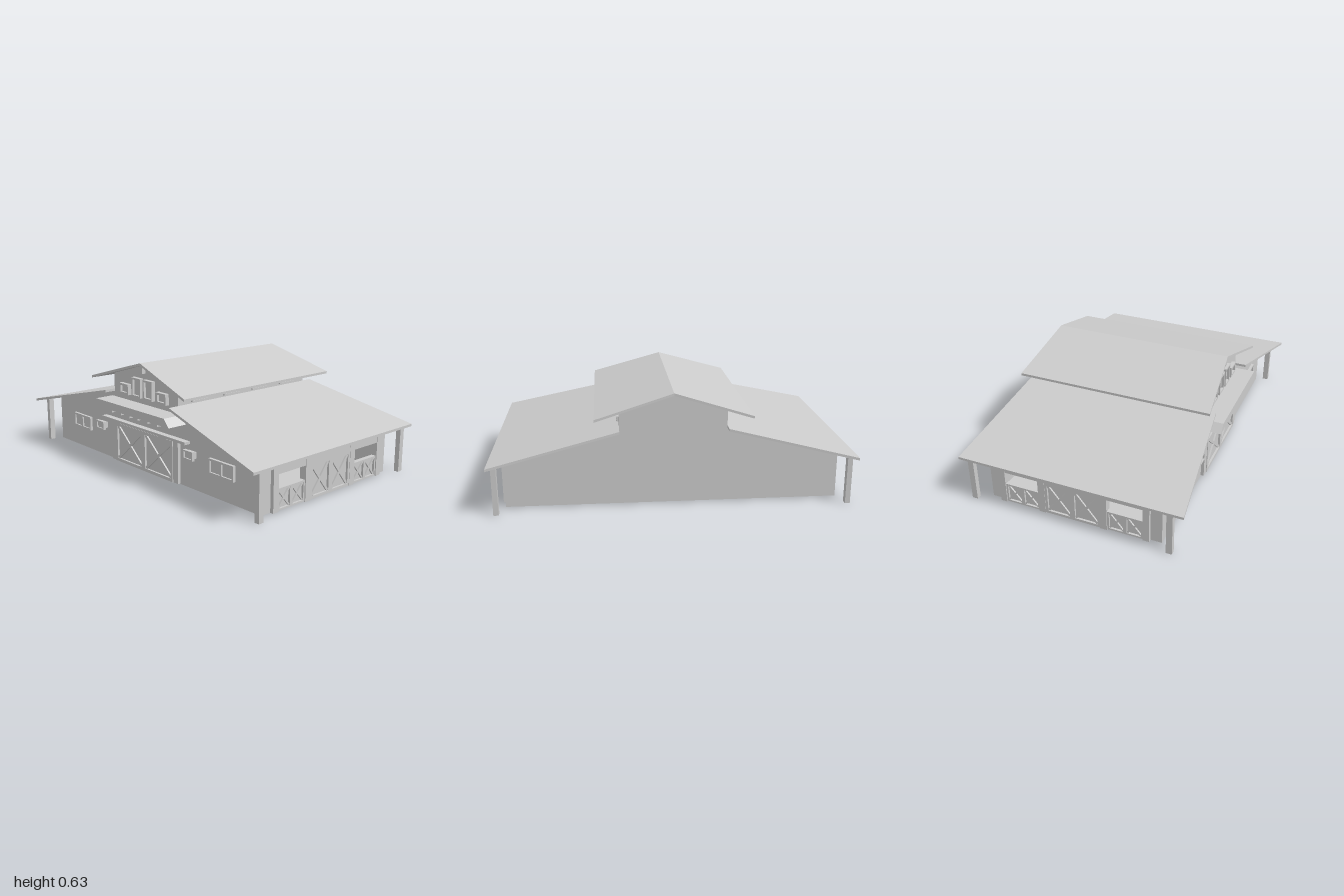
import * as THREE from 'three';

const mat = new THREE.MeshStandardMaterial({ color: 0xcccccc, flatShading: true });

function add(parent, geo, name) {
  const m = new THREE.Mesh(geo, mat);
  m.name = name;
  parent.add(m);
  return m;
}

// box given by its min and max on each axis
function box(parent, name, x0, x1, y0, y1, z0, z1) {
  const m = add(parent, new THREE.BoxGeometry(x1 - x0, y1 - y0, z1 - z0), name);
  m.position.set((x0 + x1) / 2, (y0 + y1) / 2, (z0 + z1) / 2);
  return m;
}

// flat outline in x, y with rectangular holes, extruded from z0 to z1
function plate(parent, name, pts, z0, z1, holes = []) {
  const shape = new THREE.Shape(pts.map(p => new THREE.Vector2(...p)));
  for (const [x0, x1, y0, y1] of holes) {
    shape.holes.push(new THREE.Path([[x0, y0], [x0, y1], [x1, y1], [x1, y0]].map(p => new THREE.Vector2(...p))));
  }
  const m = add(parent, new THREE.ExtrudeGeometry(shape, { depth: z1 - z0, bevelEnabled: false }), name);
  m.position.z = z0;
  return m;
}

const rect = (x0, x1, y0, y1) => [[x0, y0], [x1, y0], [x1, y1], [x0, y1]];

// raised frame around one or more panes, facing +z
function windowUnit(parent, x0, x1, y0, y1, z, depth, bar, panes = 1) {
  const g = new THREE.Group();
  g.name = 'window';
  parent.add(g);
  const w = (x1 - x0 - bar) / panes;
  const holes = [];
  for (let i = 0; i < panes; i++) holes.push([x0 + bar + i * w, x0 + (i + 1) * w, y0 + bar, y1 - bar]);
  plate(g, 'windowFrame', rect(x0, x1, y0, y1), z - 0.002, z + depth, holes);
  box(g, 'windowPane', x0 + bar / 2, x1 - bar / 2, y0 + bar / 2, y1 - bar / 2, z - 0.002, z + depth * 0.4);
}

// door leaf with frame and crossed braces, facing +z
function crossLeaf(parent, name, x0, x1, y0, y1, z, bar) {
  const g = new THREE.Group();
  g.name = name;
  parent.add(g);
  box(g, 'leafPanel', x0 + 0.002, x1 - 0.002, y0 + 0.002, y1 - 0.002, z - 0.012, z + 0.004);
  plate(g, 'leafFrame', rect(x0, x1, y0, y1), z - 0.012, z + 0.016,
    [[x0 + bar, x1 - bar, y0 + bar, y1 - bar]]);
  const w = x1 - x0 - 2 * bar, h = y1 - y0 - 2 * bar;
  for (const s of [1, -1]) {
    const b = add(g, new THREE.BoxGeometry(Math.hypot(w, h) - bar * 0.5, bar * 0.9, 0.012), 'leafBrace');
    b.position.set((x0 + x1) / 2, (y0 + y1) / 2, z + 0.007);
    b.rotation.z = s * Math.atan2(h, w);
  }
}

// sloping roof half whose depth widens from the inner to the outer edge
function roofHalf(parent, name, side, inner, outer, thick) {
  const geo = new THREE.BoxGeometry(1, 1, 1);
  const p = geo.attributes.position;
  for (let i = 0; i < p.count; i++) {
    const t = side * p.getX(i) + 0.5;
    const [x, y, d] = inner.map((v, k) => v + (outer[k] - v) * t);
    p.setXYZ(i, side * x, y + (p.getY(i) > 0 ? 0 : -thick), p.getZ(i) * 2 * d);
  }
  geo.computeVertexNormals();
  add(parent, geo, name);
}

export function createModel() {
  const root = new THREE.Group();
  root.name = 'barn';

  // gable end walls and floor
  const gable = [[-0.92, 0.005], [0.92, 0.005], [0.92, 0.285], [0.295, 0.428], [0.295, 0.538],
    [0, 0.624], [-0.295, 0.538], [-0.295, 0.428], [-0.92, 0.285]];
  plate(root, 'frontWall', gable, 0.48, 0.5);
  plate(root, 'backWall', gable, -0.5, -0.48);
  box(root, 'floor', -0.918, 0.918, 0.005, 0.015, -0.498, 0.498);

  // roofs: half-depth is the third number
  for (const s of [1, -1]) {
    roofHalf(root, 'lowerRoof', s, [0.295, 0.44, 0.565], [1, 0.278, 0.638], 0.014);
    roofHalf(root, 'upperRoof', s, [0, 0.635, 0.531], [0.428, 0.51, 0.57], 0.014);
  }
  box(root, 'ridgeBeam', -0.012, 0.012, 0.575, 0.618, 0.48, 0.525);

  // long sides, built facing +z and turned outward
  for (const s of [1, -1]) {
    const side = new THREE.Group();
    side.name = s > 0 ? 'leftSide' : 'rightSide';
    side.rotation.y = s * Math.PI / 2;
    root.add(side);

    const openings = [[-0.4, -0.2, 0.02, 0.2], [0.2, 0.4, 0.02, 0.2]];
    plate(side, 'sideWall', rect(-0.499, 0.499, 0.005, 0.285), 0.9, 0.92, openings);
    box(side, 'sideBeam', -0.437, 0.437, 0.2, 0.235, 0.91, 0.938);
    for (const m of [1, -1]) {
      for (const [a, b] of [[0.16, 0.2], [0.4, 0.437]]) {
        box(side, 'sideUpright', Math.min(m * a, m * b), Math.max(m * a, m * b), 0.005, 0.282, 0.91, 0.94);
      }
      crossLeaf(side, 'sideDoor', m > 0 ? 0 : -0.16, m > 0 ? 0.16 : 0, 0.007, 0.2, 0.922, 0.015);
      for (const c of [0.25, 0.35]) {
        crossLeaf(side, 'stallGate', m * c - 0.05, m * c + 0.05, 0.007, 0.123, 0.918, 0.01);
      }
    }

    // raised middle wall with its windows
    box(side, 'clerestoryWall', -0.499, 0.499, 0.41, 0.538, 0.275, 0.295);
    for (const c of [-0.347, -0.112, 0.112, 0.347]) {
      windowUnit(side, c - 0.063, c + 0.063, 0.449, 0.48, 0.295, 0.012, 0.008);
    }

    // porch posts at the roof corners
    box(root, 'frontPost', s * 0.962 - 0.014, s * 0.962 + 0.014, 0, 0.278, 0.541, 0.574);
    box(root, 'backPost', s * 0.962 - 0.014, s * 0.962 + 0.014, 0, 0.278, -0.601, -0.568);
  }

  // front: sliding doors, jambs and track
  for (const s of [1, -1]) {
    crossLeaf(root, 'frontDoor', s > 0 ? 0 : -0.267, s > 0 ? 0.267 : 0, 0.008, 0.243, 0.506, 0.018);
    box(root, 'doorJamb', s * 0.287 - 0.022, s * 0.287 + 0.022, 0.008, 0.25, 0.49, 0.518);
  }
  box(root, 'doorTrack', -0.388, 0.388, 0.25, 0.265, 0.49, 0.535);

  // front: ground floor windows, wall boxes and loft windows
  for (const s of [1, -1]) {
    const wx = s * 0.645, lx = s * 0.412, sx = s * 0.172, tx = s * 0.053;
    windowUnit(root, wx - 0.093, wx + 0.093, 0.13, 0.215, 0.5, 0.016, 0.011, 2);
    box(root, 'lampBody', lx - 0.03, lx + 0.03, 0.182, 0.218, 0.49, 0.53);
    windowUnit(root, lx - 0.038, lx + 0.038, 0.174, 0.225, 0.522, 0.016, 0.008);
    windowUnit(root, sx - 0.043, sx + 0.043, 0.43, 0.492, 0.5, 0.024, 0.012);
    windowUnit(root, tx - 0.041, tx + 0.041, 0.43, 0.542, 0.5, 0.024, 0.011);
  }

  // canopy over the doors, carried on beam ends
  plate(root, 'canopy', [[-0.356, 0.35], [0.356, 0.35], [0.318, 0.395], [-0.318, 0.395]], 0.49, 0.617);
  for (const x of [-0.21, -0.122, -0.036, 0.036, 0.127, 0.213]) {
    box(root, 'canopyBeam', x - 0.011, x + 0.011, 0.326, 0.351, 0.49, 0.59);
  }
  return root;
}
